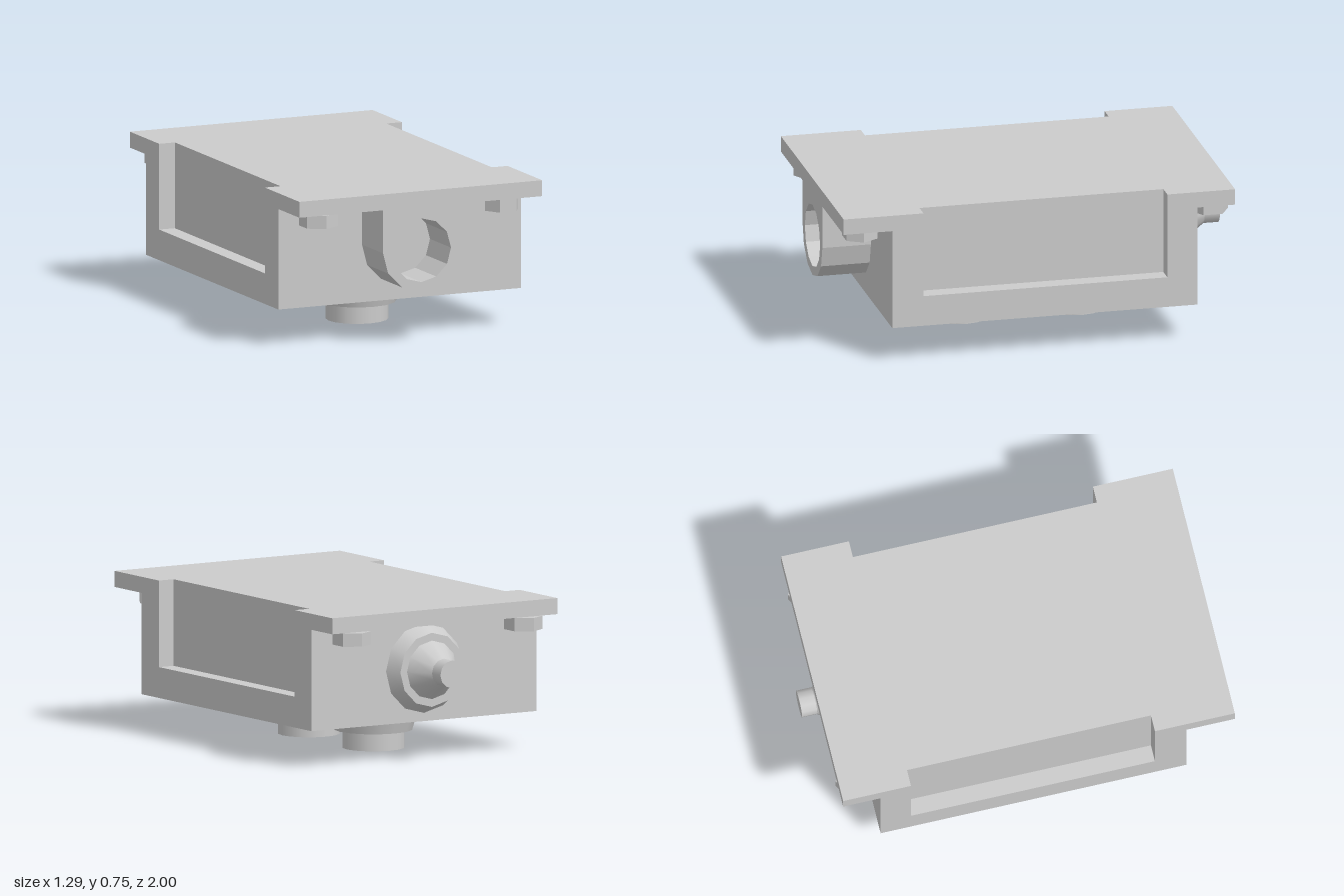
import * as THREE from 'three';

const material = new THREE.MeshStandardMaterial({ color: 0xcccccc });

function add(parent, name, geometry, x = 0, y = 0, z = 0) {
  const mesh = new THREE.Mesh(geometry, material);
  mesh.name = name;
  mesh.position.set(x, y, z);
  parent.add(mesh);
  return mesh;
}

const toShape = (points) => new THREE.Shape(points.map(([x, y]) => new THREE.Vector2(x, y)));

const extrude = (shape, depth) => new THREE.ExtrudeGeometry(shape, { depth, bevelEnabled: false });

// Extrudes a (z, y) side profile across x, centred on x = 0
const extrudeSide = (points, width) =>
  extrude(toShape(points), width).rotateY(-Math.PI / 2).translate(width / 2, 0, 0);

// Points of a 12-sided arc around (x, y)
function arc(x, y, r, from, steps) {
  return Array.from({ length: steps + 1 }, (_, i) => {
    const a = from + (i * Math.PI) / 6;
    return [x + r * Math.cos(a), y + r * Math.sin(a)];
  });
}

export function createModel() {
  const model = new THREE.Group();
  model.name = 'mountingBox';

  // Box and overhanging lid share one side profile
  const lower = [[-0.935, 0.75], [-0.935, 0.672], [-0.75, 0.672], [-0.75, 0.18],
    [0.76, 0.18], [0.76, 0.672], [1, 0.672], [1, 0.75]];
  add(model, 'bodyCore', extrudeSide(lower, 1.12));

  // Side rims leave a recess open to the top
  const rim = [...lower, [0.605, 0.75], [0.605, 0.33], [-0.6, 0.33], [-0.6, 0.75]];
  for (const side of [1, -1]) {
    add(model, side > 0 ? 'leftRim' : 'rightRim', extrudeSide(rim, 0.083), side * 0.6015);
  }

  // Front port: U-shaped housing with a round opening
  const port = toShape([[0.207, 0.68], [-0.2, 0.68], ...arc(0.0035, 0.462, 0.2035, Math.PI, 6)]);
  port.holes.push(new THREE.Path(
    arc(0.004, 0.46, 0.156, 0, 11).map(([x, y]) => new THREE.Vector2(x, y))));
  add(model, 'frontPort', extrude(port, 0.245), 0, 0, 0.755);

  // Rear nozzle: flange, cone and tip
  const nozzle = new THREE.Group();
  nozzle.name = 'rearNozzle';
  const sections = [
    ['nozzleFlange', 0.18, 0.217, -0.75, -0.82],
    ['nozzleCone', 0.067, 0.142, -0.82, -0.925],
    ['nozzleTip', 0.067, 0.067, -0.925, -1],
  ];
  for (const [name, rTip, rBase, z0, z1] of sections) {
    const geometry = new THREE.CylinderGeometry(rTip, rBase, z0 - z1, 12).rotateX(-Math.PI / 2);
    add(nozzle, name, geometry, 0, 0.437, (z0 + z1) / 2);
  }
  model.add(nozzle);

  // Hexagonal bolt heads beneath the lid: x, z, radius, turn
  const bolts = [
    [0.483, 0.882, 0.088, Math.PI / 6],
    [-0.488, 0.882, 0.094, 0],
    [0.475, -0.847, 0.093, 0],
    [-0.505, -0.847, 0.093, 0],
  ];
  for (const [x, z, r, turn] of bolts) {
    const geometry = new THREE.CylinderGeometry(r, r, 0.064, 6).rotateY(turn).toNonIndexed();
    geometry.computeVertexNormals();
    add(model, 'boltHead', geometry, x, 0.632, z);
  }

  // Two underside sockets, each on a chamfered pad
  for (const [padZ, socketZ] of [[0.308, 0.276], [-0.27, -0.297]]) {
    const socket = new THREE.Group();
    socket.name = 'bottomSocket';
    const [w, d, cx, cz] = [0.495, 0.275, 0.35, 0.15];
    const pad = toShape([[cx, -d], [w, -cz], [w, cz], [cx, d],
      [-cx, d], [-w, cz], [-w, -cz], [-cx, -d]]);
    add(socket, 'socketPad', extrude(pad, 0.027).rotateX(-Math.PI / 2), 0, 0.154, padZ);
    add(socket, 'socketCollar', new THREE.CylinderGeometry(0.21, 0.19, 0.067, 16), -0.002, 0.1215, socketZ);
    add(socket, 'socketPlug', new THREE.CylinderGeometry(0.151, 0.151, 0.09, 16), -0.002, 0.045, socketZ);
    model.add(socket);
  }

  return model;
}
